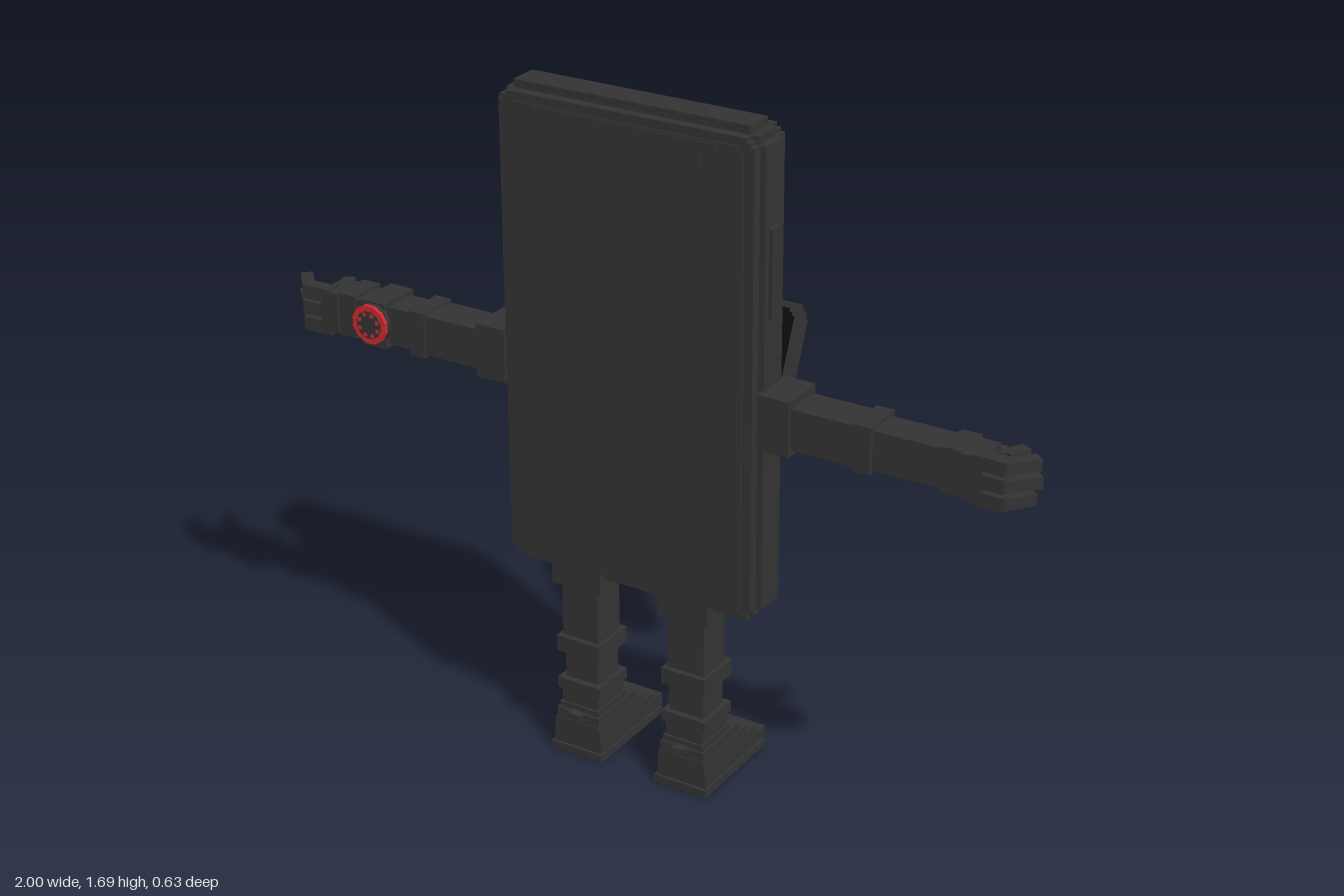
import * as THREE from 'three';

const mat = (name, color) => Object.assign(new THREE.MeshStandardMaterial({ color }), { name });
const dark = mat('charcoal', 0x333333), black = mat('black', 0x0c0c0c), red = mat('red', 0xd0282e);
const white = mat('eyeWhite', 0xdadada), grey = mat('eyeGrey', 0x959595), teal = mat('teal', 0x2f8c8c);

function add(parent, name, geo, m, x = 0, y = 0, z = 0) {
  const mesh = new THREE.Mesh(geo, m);
  mesh.name = name;
  mesh.position.set(x, y, z);
  parent.add(mesh);
  return mesh;
}

// Box given by its limits on each axis
function box(parent, name, m, x0, x1, y0, y1, z0, z1) {
  return add(parent, name, new THREE.BoxGeometry(Math.abs(x1 - x0), y1 - y0, z1 - z0), m,
    (x0 + x1) / 2, (y0 + y1) / 2, (z0 + z1) / 2);
}

// Box beam of a given height and thickness between two points
function beam(parent, name, m, a, b, height, thick) {
  const p = new THREE.Vector3(...a), q = new THREE.Vector3(...b);
  const mesh = add(parent, name, new THREE.BoxGeometry(thick, height, p.distanceTo(q)), m);
  mesh.position.copy(p).add(q).multiplyScalar(0.5);
  mesh.lookAt(q);
  return mesh;
}

// Plate with two-step (blocky) corners, centred in x and y, extruded from z0 to z1
function steppedPlate(parent, name, m, cx, cy, w, h, z0, z1, s) {
  const corner = [[w / 2, h / 2 - 2 * s], [w / 2 - s, h / 2 - 2 * s], [w / 2 - s, h / 2 - s],
    [w / 2 - 2 * s, h / 2 - s], [w / 2 - 2 * s, h / 2]];
  const flip = (sx, sy) => corner.map(([x, y]) => [x * sx, y * sy]);
  const pts = [...flip(1, 1), ...flip(-1, 1).reverse(), ...flip(-1, -1), ...flip(1, -1).reverse()];
  const shape = new THREE.Shape(pts.map(p => new THREE.Vector2(...p)));
  return add(parent, name, new THREE.ExtrudeGeometry(shape, { depth: z1 - z0, bevelEnabled: false }), m, cx, cy, z0);
}

// Flat-sided disc facing along z
function disc(parent, name, m, x, y, z0, z1, r, sides = 8) {
  const geo = new THREE.CylinderGeometry(r, r, z1 - z0, sides).rotateY(Math.PI / sides).rotateX(Math.PI / 2).toNonIndexed();
  geo.computeVertexNormals();
  return add(parent, name, geo, m, x, y, (z0 + z1) / 2);
}

function buildBody(g) {
  steppedPlate(g, 'case', dark, 0, 1.0925, 0.66, 1.155, 0.16, 0.29, 0.01);
  steppedPlate(g, 'rim', dark, 0, 1.09, 0.69, 1.2, 0.19, 0.265, 0.02);
  steppedPlate(g, 'screen', dark, 0, 1.085, 0.61, 1.13, 0.29, 0.294, 0.008);
  box(g, 'notchUpper', dark, -0.24, 0.24, 1.62, 1.645, 0.293, 0.297);
  box(g, 'notchLower', dark, -0.2, 0.2, 1.59, 1.62, 0.293, 0.297);
  box(g, 'powerButton', dark, 0.34, 0.355, 1.25, 1.46, 0.205, 0.25);
  box(g, 'volumeUp', dark, -0.353, -0.34, 1.27, 1.42, 0.205, 0.25);
  box(g, 'volumeDown', dark, -0.353, -0.34, 1.1, 1.25, 0.205, 0.25);
  // Rear lenses
  steppedPlate(g, 'lensPlate', dark, 0.045, 1.53, 0.51, 0.23, 0.146, 0.161, 0.02);
  for (const x of [0.2, 0.02]) {
    disc(g, 'lensRing', dark, x, 1.53, 0.13, 0.147, 0.078);
    disc(g, 'lens', dark, x, 1.53, 0.124, 0.131, 0.062);
  }
}

function buildFace(g) {
  box(g, 'browPanel', dark, -0.28, 0.28, 1.2, 1.3, 0.152, 0.161);
  box(g, 'cheekPanel', dark, -0.25, 0.25, 0.95, 1.2, 0.15, 0.161);
  box(g, 'jawPanel', dark, -0.18, 0.18, 0.75, 0.95, 0.152, 0.161);
  for (const s of [1, -1]) {
    // Eye: stepped white rows, grey patches, pupil and glint
    steppedPlate(g, 'eyeSocket', dark, s * 0.165, 1.08, 0.225, 0.19, 0.142, 0.151, 0.02);
    steppedPlate(g, 'eyeWhite', white, s * 0.165, 1.08, 0.195, 0.15, 0.134, 0.143, 0.02);
    box(g, 'eyeShade', grey, s * 0.08, s * 0.24, 1.1, 1.15, 0.131, 0.135);
    box(g, 'eyeShadeLow', grey, s * 0.14, s * 0.22, 1.008, 1.028, 0.131, 0.135);
    steppedPlate(g, 'pupil', dark, s * 0.14, 1.08, 0.1, 0.12, 0.126, 0.132, 0.016);
    box(g, 'glint', white, s * 0.14, s * 0.16, 1.095, 1.115, 0.122, 0.127);
    for (const [x, y] of [[0.11, 1.045], [0.165, 1.06]])
      box(g, 'spark', grey, s * x, s * (x + 0.014), y, y + 0.014, 0.123, 0.127);
    box(g, 'eyeBag', dark, s * 0.13, s * 0.22, 0.945, 0.995, 0.135, 0.151);
    // Frowning brow, rising in steps towards the outside
    for (let i = 0; i < 6; i++) {
      const x = 0.04 + i * 0.038, y = 1.155 + i * 0.018 - (i === 5 ? 0.02 : 0);
      box(g, 'brow', dark, s * x, s * (x + 0.04), y, y + 0.045, 0.112 + 0.004 * Math.abs(i - 2), 0.153);
    }
    box(g, 'lashLine', dark, s * 0.08, s * 0.26, 1.145, 1.165, 0.124, 0.151);
    box(g, 'nostril', dark, s * 0.025, s * 0.06, 0.985, 1.03, 0.1, 0.151);
    // Downturned mouth, half on each side
    for (let i = 0; i < 4; i++) {
      const x = i * 0.038, y = 0.87 - i * i * 0.007;
      box(g, 'upperLip', dark, s * x, s * (x + 0.04), y, y + 0.03, 0.134, 0.153);
    }
    box(g, 'lowerLip', dark, 0, s * 0.08, 0.805, 0.835, 0.138, 0.153);
  }
  box(g, 'noseTip', dark, -0.045, 0.045, 0.985, 1.05, 0.076, 0.151);
  beam(g, 'noseBridge', dark, [0, 1.04, 0.122], [0, 1.17, 0.145], 0.03, 0.055);
}

function buildArm(g, s) {
  const arm = new THREE.Group();
  arm.name = s > 0 ? 'leftArm' : 'rightArm';
  g.add(arm);
  // Sleeve, upper arm, elbow, forearm, wrist: x0, x1, y0, y1, z0, z1
  [['sleeve', 0.34, 0.42, 0.945, 1.08, 0.165, 0.285], ['upperArm', 0.42, 0.58, 0.96, 1.06, 0.175, 0.275],
    ['elbow', 0.575, 0.62, 0.952, 1.066, 0.168, 0.28], ['forearm', 0.62, 0.79, 0.96, 1.055, 0.178, 0.268],
    ['cuff', 0.785, 0.835, 0.953, 1.062, 0.172, 0.272], ['palm', 0.835, 0.885, 0.957, 1.06, 0.185, 0.278]]
    .forEach(([n, x0, x1, ...r]) => box(arm, n, dark, s * x0, s * x1, ...r));
  // Curled fingers and thumb
  [[0.963, 0.975], [1.006, 0.99], [1.047, 0.985]].forEach(([y, tip]) => {
    beam(arm, 'fingerBase', dark, [s * 0.86, y, 0.258], [s * 0.94, y, 0.262], 0.034, 0.036);
    beam(arm, 'fingerTip', dark, [s * 0.93, y, 0.265], [s * tip, y, 0.205], 0.028, 0.03);
  });
  beam(arm, 'thumbBase', dark, [s * 0.85, 1.02, 0.19], [s * 0.893, 1.02, 0.17], 0.04, 0.04);
  beam(arm, 'thumbTip', dark, [s * 0.893, 1.02, 0.175], [s * 0.918, 1.02, 0.125], 0.03, 0.032);
}

function buildWatch(g) {
  const watch = new THREE.Group();
  watch.name = 'watch';
  g.add(watch);
  box(watch, 'strap', dark, -0.757, -0.69, 0.95, 1.066, 0.165, 0.282);
  disc(watch, 'watchBase', dark, -0.722, 1.014, 0.28, 0.293, 0.05, 12);
  disc(watch, 'dialRing', red, -0.722, 1.014, 0.292, 0.302, 0.05, 12);
  disc(watch, 'dial', dark, -0.722, 1.014, 0.3, 0.304, 0.036, 12);
  for (let i = 0; i < 8; i++) {
    const a = (i + 0.5) * Math.PI / 4;
    disc(watch, 'dialMark', red, -0.722 + 0.028 * Math.cos(a), 1.014 + 0.028 * Math.sin(a), 0.302, 0.306, 0.006, 4);
  }
}

function buildLeg(g, s) {
  const leg = new THREE.Group();
  leg.name = s > 0 ? 'leftLeg' : 'rightLeg';
  leg.position.x = s * 0.148;
  g.add(leg);
  // Half width, y0, y1, z0, z1
  [['hip', 0.068, 0.455, 0.52, 0.16, 0.29], ['thigh', 0.05, 0.3, 0.46, 0.18, 0.275],
    ['knee', 0.06, 0.27, 0.312, 0.165, 0.288], ['shin', 0.046, 0.19, 0.275, 0.182, 0.272],
    ['cuff', 0.06, 0.168, 0.196, 0.165, 0.288], ['ankle', 0.05, 0.1, 0.17, 0.17, 0.282],
    ['tongue', 0.035, 0.1, 0.155, 0.14, 0.172], ['toe', 0.048, 0, 0.035, 0.005, 0.05],
    ['sole', 0.073, 0, 0.02, 0.025, 0.303], ['shoeLow', 0.067, 0.02, 0.05, 0.015, 0.296],
    ['shoeMid', 0.065, 0.05, 0.07, 0.055, 0.296], ['shoeUpper', 0.063, 0.07, 0.09, 0.095, 0.296],
    ['shoeTop', 0.06, 0.09, 0.115, 0.125, 0.294], ['collar', 0.055, 0.115, 0.13, 0.16, 0.288]]
    .forEach(([n, w, ...r]) => box(leg, n, dark, -w, w, ...r));
  beam(leg, 'heelTab', dark, [0, 0.12, 0.28], [0, 0.103, 0.312], 0.014, 0.03);
}

function buildHandset(g) {
  // Floating tilted handset, its screen turned to the face
  const h = new THREE.Group();
  h.name = 'handset';
  h.position.set(-0.005, 0.807, -0.2);
  h.rotation.x = -Math.atan2(0.185, 0.45);
  g.add(h);
  steppedPlate(h, 'handsetCase', dark, 0, 0, 0.275, 0.5, -0.024, 0.024, 0.008);
  steppedPlate(h, 'handsetRim', dark, 0, 0, 0.295, 0.485, -0.016, 0.016, 0.012);
  steppedPlate(h, 'handsetScreen', black, 0, 0, 0.26, 0.475, 0.023, 0.027, 0.008);
  // Coloured rows on the screen: x0, x1, y0, y1
  [[teal, -0.11, 0.12, 0.108, 0.122], [red, -0.115, -0.03, 0.065, 0.095], [red, -0.05, 0.06, 0.045, 0.08],
    [red, 0.07, 0.12, 0.06, 0.1], [teal, -0.115, -0.06, 0.025, 0.045], [white, 0.07, 0.12, 0.03, 0.038],
    [teal, -0.115, 0.02, -0.08, -0.045], [teal, -0.08, 0.06, -0.115, -0.08], [red, 0.075, 0.12, -0.085, -0.05],
    [teal, -0.11, 0.12, -0.145, -0.128], [white, -0.03, 0.03, -0.228, -0.222]]
    .forEach(([m, ...r]) => box(h, 'screenRow', m, ...r, 0.026, 0.029));
}

export function createModel() {
  const g = new THREE.Group();
  g.name = 'phoneFigure';
  buildBody(g);
  buildFace(g);
  for (const s of [1, -1]) {
    buildArm(g, s);
    buildLeg(g, s);
  }
  buildWatch(g);
  buildHandset(g);
  return g;
}
